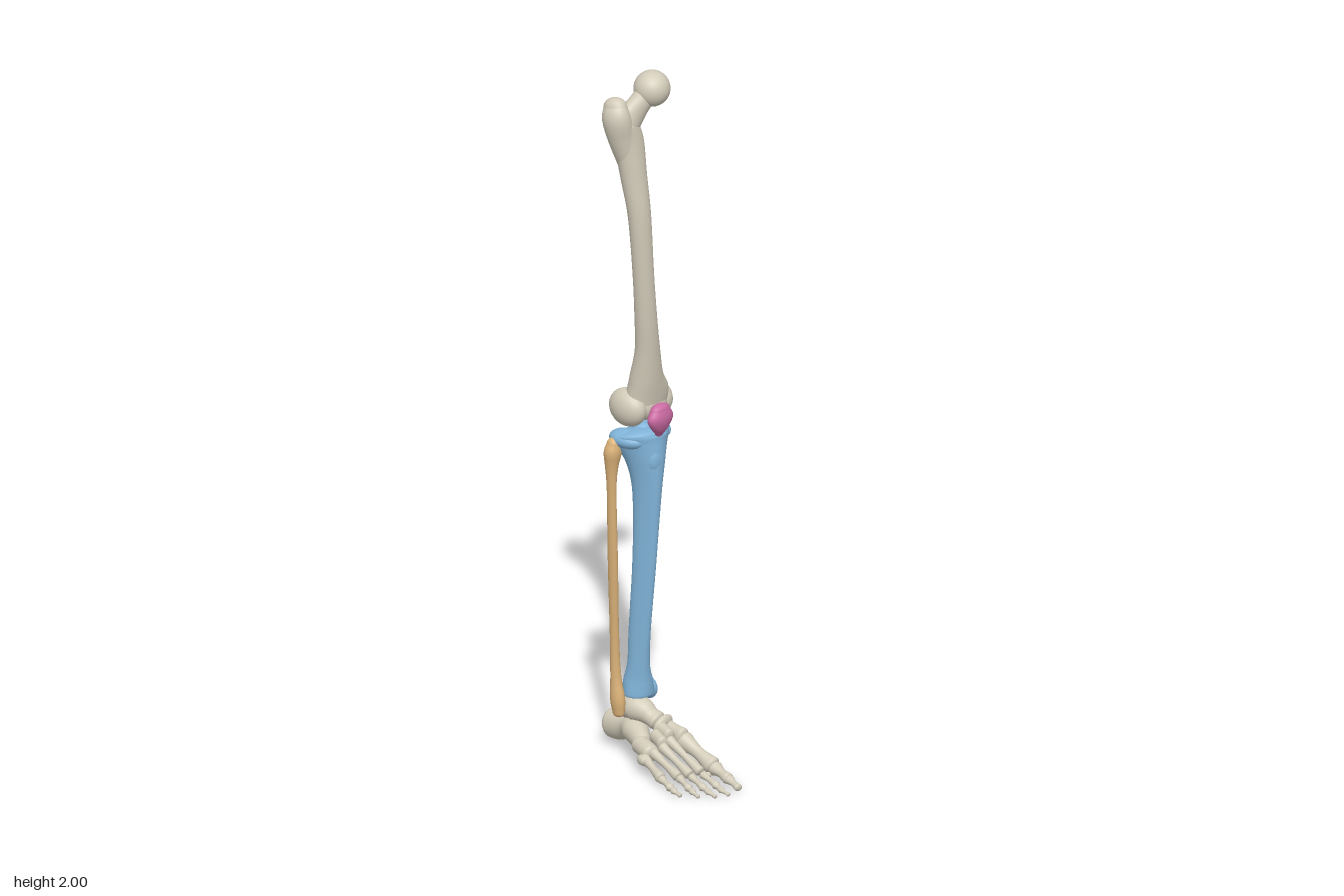
import * as THREE from 'three';

const V = (x, y, z) => new THREE.Vector3(x, y, z);
const SIDES = 28;

// Smooth closed sweep through sections [x, y, z, halfWidth, halfDepth], with domed ends.
function sweep(rows, { steps = 7, side = V(1, 0, 0), cap = 0.6, capEnd = cap, shape = () => 1 } = {}) {
  const path = new THREE.CatmullRomCurve3(rows.map(r => V(r[0], r[1], r[2])), false, 'catmullrom');
  const size = new THREE.CatmullRomCurve3(rows.map(r => V(r[3], r[4], 0)), false, 'catmullrom');
  const rings = [];
  const add = (t, scale, shift) => {
    const T = path.getTangent(t), s = size.getPoint(t), c = path.getPoint(t);
    const U = side.clone().addScaledVector(T, -side.dot(T)).normalize();
    c.addScaledVector(T, shift * Math.min(s.x, s.y));
    rings.push({ c, U, W: T.clone().cross(U), a: s.x * scale, b: s.y * scale });
  };
  const n = (rows.length - 1) * steps, D = 6;
  for (let k = D; k > 0; k--) {
    const f = k / D * Math.PI / 2;
    add(0, Math.max(Math.cos(f), 0.002), -cap * Math.sin(f));
  }
  for (let i = 0; i <= n; i++) add(i / n, 1, 0);
  for (let k = 1; k <= D; k++) {
    const f = k / D * Math.PI / 2;
    add(1, Math.max(Math.cos(f), 0.002), capEnd * Math.sin(f));
  }
  const pos = [], idx = [];
  rings.forEach((r, i) => {
    for (let j = 0; j < SIDES; j++) {
      const q = j / SIDES * Math.PI * 2, m = shape(q, i / (rings.length - 1));
      const p = r.c.clone().addScaledVector(r.U, r.a * m * Math.cos(q)).addScaledVector(r.W, r.b * m * Math.sin(q));
      pos.push(p.x, p.y, p.z);
      if (i < rings.length - 1) {
        const k = (j + 1) % SIDES, A = i * SIDES, B = A + SIDES;
        idx.push(A + j, A + k, B + j, A + k, B + k, B + j);
      }
    }
  });
  const g = new THREE.BufferGeometry();
  g.setAttribute('position', new THREE.Float32BufferAttribute(pos, 3));
  g.setIndex(idx);
  g.computeVertexNormals();
  return g;
}

export function createModel() {
  const material = (name, color) => Object.assign(new THREE.MeshStandardMaterial({ color }), { name });
  const bone = material('ivory bone', 0xd3ccba);
  const blue = material('shin blue', 0x82b5da);
  const tan = material('outer shin tan', 0xdab178);
  const pink = material('kneecap pink', 0xcb6ba3);

  const model = new THREE.Group();
  model.name = 'legSkeleton';
  const group = name => {
    const g = new THREE.Group();
    g.name = name;
    model.add(g);
    return g;
  };
  const put = (parent, name, geo, mat) => {
    const m = new THREE.Mesh(geo, mat);
    m.name = name;
    parent.add(m);
    return m;
  };
  const ball = (parent, name, mat, p, r, rot = [0, 0, 0]) => {
    const m = put(parent, name, new THREE.SphereGeometry(1, 32, 22), mat);
    m.position.set(...p);
    m.scale.set(...r);
    m.rotation.set(...rot);
  };

  // Thigh bone: shaft, neck, head, trochanters and condyles
  const thigh = group('thighBone');
  put(thigh, 'thighShaft', sweep([
    [0.034, 1.02, -0.105, 0.072, 0.042], [0.03, 1.055, -0.1, 0.072, 0.044], [0.016, 1.11, -0.088, 0.052, 0.04],
    [0.002, 1.2, -0.071, 0.037, 0.031], [-0.013, 1.3, -0.063, 0.032, 0.029], [-0.027, 1.43, -0.059, 0.03, 0.028],
    [-0.04, 1.6, -0.061, 0.033, 0.03], [-0.047, 1.71, -0.075, 0.038, 0.034], [-0.054, 1.81, -0.087, 0.045, 0.036],
    [-0.07, 1.86, -0.092, 0.042, 0.036]]), bone);
  put(thigh, 'greaterTrochanter', sweep([
    [-0.055, 1.76, -0.086, 0.034, 0.032], [-0.074, 1.83, -0.094, 0.04, 0.038],
    [-0.09, 1.885, -0.098, 0.037, 0.042], [-0.088, 1.918, -0.105, 0.027, 0.035]], { cap: 0.9 }), bone);
  put(thigh, 'thighNeck', sweep([
    [-0.075, 1.85, -0.09, 0.033, 0.045], [-0.045, 1.885, -0.085, 0.029, 0.042],
    [-0.015, 1.922, -0.075, 0.029, 0.033], [0.012, 1.947, -0.067, 0.038, 0.038]], { side: V(0, 0, 1) }), bone);
  ball(thigh, 'thighHead', bone, [0.015, 1.95, -0.066], [0.05, 0.05, 0.05]);
  ball(thigh, 'lesserTrochanter', bone, [-0.025, 1.795, -0.108], [0.024, 0.034, 0.02], [0, 0, -0.4]);
  ball(thigh, 'innerCondyle', bone, [0.084, 1.022, -0.129], [0.043, 0.054, 0.061], [0, 0.15, 0]);
  ball(thigh, 'outerCondyle', bone, [-0.018, 1.022, -0.123], [0.04, 0.053, 0.062], [0, -0.1, 0]);
  ball(thigh, 'kneeGroove', bone, [0.03, 1.025, -0.095], [0.065, 0.042, 0.038]);

  // Kneecap: broad above, pointed below
  put(model, 'kneecap', sweep([
    [0.014, 0.959, -0.04, 0.012, 0.01], [0.013, 0.983, -0.035, 0.033, 0.019],
    [0.012, 1.008, -0.033, 0.045, 0.023], [0.012, 1.032, -0.034, 0.032, 0.019]], { cap: 0.8 }), pink);

  // Main shin bone: three-sided shaft with the ridge in front
  const shin = group('shinBone');
  const ridge = (q, t) => 1 + 0.1 * Math.sin(Math.PI * t) * Math.cos(3 * (q + Math.PI / 2));
  put(shin, 'shinShaft', sweep([
    [0.041, 0.18, -0.138, 0.046, 0.041], [0.038, 0.215, -0.136, 0.041, 0.039], [0.03, 0.27, -0.127, 0.029, 0.031],
    [0.025, 0.37, -0.119, 0.025, 0.032], [0.024, 0.55, -0.103, 0.025, 0.035], [0.025, 0.7, -0.095, 0.029, 0.039],
    [0.026, 0.8, -0.093, 0.037, 0.044], [0.029, 0.87, -0.1, 0.056, 0.053], [0.032, 0.92, -0.114, 0.08, 0.064],
    [0.033, 0.938, -0.118, 0.084, 0.064]], { shape: ridge, cap: 0.25, capEnd: 0.25 }), blue);
  ball(shin, 'innerPlateau', blue, [0.079, 0.932, -0.128], [0.043, 0.027, 0.061], [0, 0, 0.15]);
  ball(shin, 'outerPlateau', blue, [-0.012, 0.927, -0.128], [0.043, 0.027, 0.057], [0, 0, -0.1]);
  ball(shin, 'plateauRidge', blue, [0.033, 0.945, -0.118], [0.025, 0.021, 0.03]);
  ball(shin, 'shinTuberosity', blue, [0.022, 0.875, -0.067], [0.027, 0.045, 0.023]);
  ball(shin, 'innerAnkle', blue, [0.074, 0.183, -0.135], [0.02, 0.033, 0.03], [0, 0, 0.15]);

  // Slender outer shin bone
  put(model, 'outerShinBone', sweep([
    [-0.02, 0.13, -0.155, 0.014, 0.018], [-0.021, 0.17, -0.158, 0.018, 0.022], [-0.021, 0.24, -0.165, 0.014, 0.015],
    [-0.025, 0.36, -0.166, 0.012, 0.013], [-0.04, 0.58, -0.158, 0.012, 0.015], [-0.05, 0.78, -0.153, 0.012, 0.014],
    [-0.051, 0.85, -0.152, 0.018, 0.018], [-0.049, 0.892, -0.15, 0.026, 0.023], [-0.046, 0.918, -0.148, 0.02, 0.019]],
    { cap: 0.9 }), tan);

  // Heel and ankle bones
  const foot = group('foot');
  put(foot, 'heelBone', sweep([
    [0.047, 0.058, -0.237, 0.033, 0.041], [0.042, 0.061, -0.21, 0.031, 0.041], [0.032, 0.069, -0.17, 0.027, 0.034],
    [0.018, 0.075, -0.13, 0.036, 0.035], [-0.004, 0.068, -0.092, 0.028, 0.03], [-0.014, 0.063, -0.073, 0.024, 0.025]],
    { cap: 0.7, capEnd: 0.3 }), bone);
  put(foot, 'ankleBone', sweep([
    [0.03, 0.12, -0.172, 0.026, 0.024], [0.032, 0.133, -0.145, 0.036, 0.038], [0.035, 0.13, -0.115, 0.033, 0.034],
    [0.038, 0.119, -0.09, 0.026, 0.025], [0.041, 0.112, -0.073, 0.029, 0.026]], { cap: 0.5 }), bone);
  ball(foot, 'boatBone', bone, [0.04, 0.106, -0.049], [0.037, 0.03, 0.016], [0.3, 0.1, 0]);

  // Straight bone with flared ends; lengthwise from a to b
  const strut = (parent, name, a, b, r0, rm, r1, tall = 1) => {
    const A = V(...a), B = V(...b);
    const rows = [[0.08, r0], [0.25, (r0 + rm) / 2], [0.5, rm], [0.75, (rm + r1) / 2], [0.92, r1]].map(([t, r]) => {
      const p = A.clone().lerp(B, t);
      return [p.x, p.y, p.z, r, r * tall];
    });
    put(parent, name, sweep(rows, { steps: 3, cap: 0.5 }), bone);
  };
  strut(foot, 'cuboidBone', [-0.022, 0.062, -0.078], [-0.046, 0.056, -0.012], 0.025, 0.025, 0.024);
  strut(foot, 'innerWedge', [0.052, 0.093, -0.043], [0.047, 0.085, 0.02], 0.02, 0.019, 0.021, 1.3);
  strut(foot, 'middleWedge', [0.023, 0.102, -0.04], [0.01, 0.096, 0.003], 0.017, 0.016, 0.016, 1.2);
  strut(foot, 'outerWedge', [0.002, 0.088, -0.043], [-0.019, 0.083, 0.005], 0.017, 0.016, 0.016, 1.2);

  // Five rays: joint positions from midfoot to tip, and thickness
  const rays = [
    { w: 1.75, at: [[0.045, 0.083, 0.016], [0.044, 0.031, 0.135], [0.029, 0.02, 0.201], [0.012, 0.013, 0.254]] },
    { w: 1, at: [[0.002, 0.093, 0.0], [-0.007, 0.028, 0.138], [-0.021, 0.018, 0.198], [-0.028, 0.012, 0.228], [-0.034, 0.009, 0.26]] },
    { w: 1, at: [[-0.024, 0.08, 0.0], [-0.037, 0.026, 0.125], [-0.055, 0.017, 0.182], [-0.062, 0.012, 0.212], [-0.068, 0.009, 0.243]] },
    { w: 1, at: [[-0.044, 0.064, -0.013], [-0.061, 0.023, 0.104], [-0.082, 0.016, 0.155], [-0.091, 0.012, 0.18], [-0.1, 0.009, 0.209]] },
    { w: 1.05, at: [[-0.058, 0.047, -0.03], [-0.095, 0.021, 0.07], [-0.111, 0.015, 0.115], [-0.118, 0.011, 0.138], [-0.124, 0.008, 0.166]] },
  ];
  rays.forEach(({ w, at }, i) => {
    const toe = new THREE.Group();
    toe.name = 'toeRay' + (i + 1);
    foot.add(toe);
    for (let k = 0; k < at.length - 1; k++) {
      const last = k === at.length - 2;
      if (k === 0) strut(toe, 'metatarsal', at[0], at[1], 0.0145 * w, 0.0095 * w, 0.0138 * w, 1.05);
      else if (last) strut(toe, 'toeTip', at[k], at[k + 1], 0.0085 * w, 0.0052 * w, 0.0068 * w, 0.85);
      else strut(toe, 'toeSegment', at[k], at[k + 1], 0.0118 * w, 0.0075 * w, 0.0095 * w, 0.95);
    }
  });
  // Knob on the outer edge, and paired small bones under the ball of the big toe
  ball(foot, 'outerKnob', bone, [-0.066, 0.042, -0.024], [0.014, 0.015, 0.022], [0, -0.3, 0]);
  for (const x of [0.032, 0.056]) ball(foot, 'sesamoid', bone, [x, 0.011, 0.12], [0.009, 0.01, 0.013]);

  return model;
}
